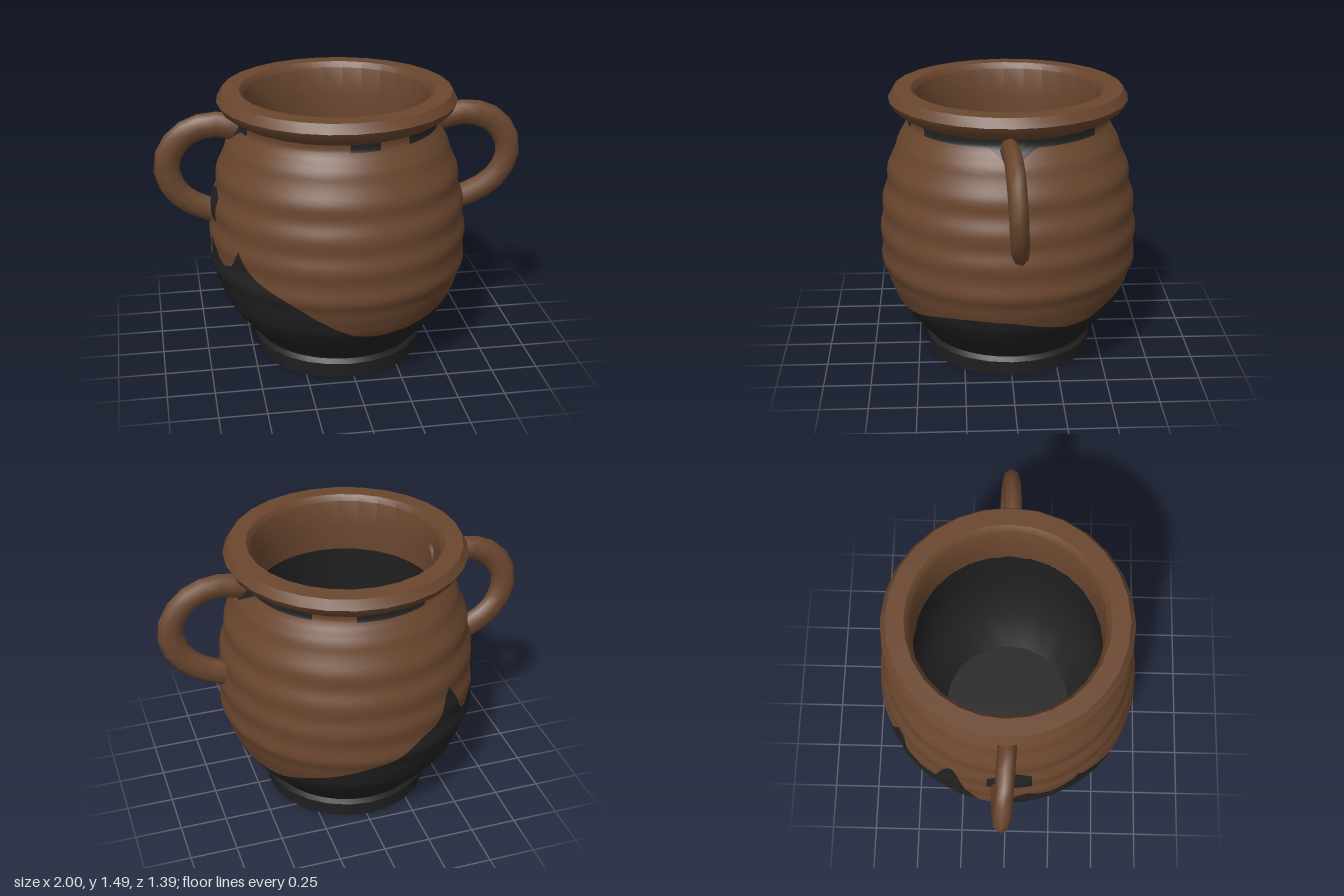
import * as THREE from 'three';
import { toCreasedNormals } from 'three/addons/utils/BufferGeometryUtils.js';

const CENTER_X = -0.02;

// Linear lookup through [key, value] pairs
function lookup(table, k) {
  for (let i = 1; i < table.length; i++) {
    const [k0, v0] = table[i - 1], [k1, v1] = table[i];
    if (k <= k1) return v0 + (v1 - v0) * Math.max(0, (k - k0) / (k1 - k0));
  }
  return table[table.length - 1][1];
}

// Outer body profile: height -> radius
const PROFILE = [
  [0.11, 0.44], [0.18, 0.5], [0.26, 0.565], [0.34, 0.62], [0.44, 0.658], [0.54, 0.688],
  [0.64, 0.694], [0.74, 0.69], [0.84, 0.684], [0.94, 0.666], [1.04, 0.648], [1.14, 0.62],
  [1.22, 0.583], [1.28, 0.552], [1.31, 0.53], [1.37, 0.535]];

// Upper edge of the dark glaze: angle in degrees (from +x toward +z) -> height
const GLAZE = [
  [0, 0.4], [17, 0.41], [32, 0.395], [50, 0.35], [64, 0.32], [78, 0.31], [90, 0.33], [99, 0.38],
  [110, 0.46], [121, 0.55], [136, 0.62], [141, 0.66], [146, 0.75], [151, 0.65], [158, 0.62],
  [164, 0.64], [171, 0.74], [176, 0.63], [184, 0.54], [192, 0.56], [198, 0.66], [202, 0.88],
  [205, 0.93], [208, 0.87], [213, 0.68], [221, 0.62], [227, 0.66], [232, 0.78], [236, 0.85],
  [240, 0.76], [245, 0.66], [252, 0.63], [262, 0.56], [270, 0.52], [287, 0.46], [305, 0.4],
  [320, 0.345], [332, 0.33], [346, 0.365], [360, 0.4]];

// Dark stretches of the neck groove, in degrees
const NECK_DARK = [[0, 56], [75, 92], [159, 195], [240, 282], [306, 360]];

// Gentle throwing ridges on top of the profile
function radius(y) {
  const fade = THREE.MathUtils.smoothstep(y, 0.42, 0.55) * (1 - THREE.MathUtils.smoothstep(y, 1.18, 1.26));
  return lookup(PROFILE, y) + 0.006 * fade * Math.sin((y * Math.PI * 2) / 0.17);
}

// Strip of body surface between two angles and two height functions
function skin(from, to, low, high, rows, lift = 0) {
  const cols = Math.max(2, Math.round((to - from) / 2)), pos = [], nor = [], idx = [];
  for (let i = 0; i <= cols; i++) {
    const deg = from + ((to - from) * i) / cols, a = THREE.MathUtils.degToRad(deg);
    for (let j = 0; j <= rows; j++) {
      const y = THREE.MathUtils.lerp(low(deg), high(deg), j / rows), r = radius(y) + lift;
      const slope = (radius(y + 0.02) - radius(y - 0.02)) / 0.04, l = Math.hypot(1, slope);
      pos.push(CENTER_X + r * Math.cos(a), y, r * Math.sin(a));
      nor.push(Math.cos(a) / l, -slope / l, Math.sin(a) / l);
      if (i < cols && j < rows) {
        const p = i * (rows + 1) + j, q = p + rows + 1;
        idx.push(p, p + 1, q, p + 1, q + 1, q);
      }
    }
  }
  const g = new THREE.BufferGeometry();
  g.setAttribute('position', new THREE.Float32BufferAttribute(pos, 3));
  g.setAttribute('normal', new THREE.Float32BufferAttribute(nor, 3));
  g.setIndex(idx);
  return g;
}

function turned(points, segments) {
  const g = new THREE.LatheGeometry(points.map(([r, y]) => new THREE.Vector2(r, y)), segments);
  return toCreasedNormals(g, 0.6).translate(CENTER_X, 0, 0);
}

export function createModel() {
  const pot = new THREE.Group();
  pot.name = 'twoHandledPot';
  const clay = new THREE.MeshStandardMaterial({ color: 0x6b472f });
  clay.name = 'brownClay';
  const glaze = new THREE.MeshStandardMaterial({ color: 0x222222 });
  glaze.name = 'darkGlaze';
  const add = (name, geometry, material) => {
    const mesh = new THREE.Mesh(geometry, material);
    mesh.name = name;
    pot.add(mesh);
  };

  // Body, split along the glaze line; the clay dips away around the handle roots
  const glazeTop = (deg) => lookup(GLAZE, deg);
  const shoulder = (deg) => {
    const d = Math.min(deg, 360 - deg, Math.abs(deg - 180));
    return 1.305 - 0.08 * Math.max(0, 1 - d / 13);
  };
  const neckTop = () => 1.365;
  add('glazedBase', skin(0, 360, () => 0.11, glazeTop, 14), glaze);
  add('clayBody', skin(0, 360, glazeTop, shoulder, 36), clay);

  // Neck groove in alternating clay and glaze stretches
  let last = 0;
  for (const [from, to] of NECK_DARK) {
    if (from > last) add('neckClay', skin(last, from, shoulder, neckTop, 4), clay);
    add('neckGlaze', skin(from, to, shoulder, neckTop, 4), glaze);
    last = to;
  }

  // Bare patch where the lower end of the right handle joins
  add('handleRootPatch', skin(168, 188, () => 0.82, (d) => 0.99 - 0.005 * Math.abs(d - 176), 5, 0.004), glaze);

  // Foot ring with recessed underside
  add('foot', turned([[0, 0.045], [0.33, 0.04], [0.36, 0.012], [0.39, 0], [0.445, 0], [0.458, 0.085],
    [0.44, 0.115]], 24), glaze);

  // Rolled rim continuing into the upper inner wall
  add('rim', turned([[0.53, 1.345], [0.565, 1.36], [0.615, 1.395], [0.636, 1.435], [0.608, 1.483], [0.515, 1.485],
    [0.493, 1.455], [0.485, 1.3], [0.49, 1.16]], 28), clay);

  // Dark interior
  add('interior', turned([[0.49, 1.16], [0.52, 0.9], [0.55, 0.6], [0.5, 0.36], [0.36, 0.17], [0, 0.17]], 20), glaze);

  // Flattened loop handles, mirrored
  const path = [[0.5, 1.29], [0.7, 1.318], [0.85, 1.255], [0.93, 1.11], [0.89, 0.96], [0.79, 0.87], [0.65, 0.81]];
  for (const side of [1, -1]) {
    const curve = new THREE.CatmullRomCurve3(path.map(([x, y], i) =>
      new THREE.Vector3(side * x, y, 0.025 - 0.012 * i)));
    const g = new THREE.TubeGeometry(curve, 12, 0.07, 8, false).scale(1, 1, 0.68);
    add(side > 0 ? 'leftHandle' : 'rightHandle', g, clay);
  }
  return pot;
}
